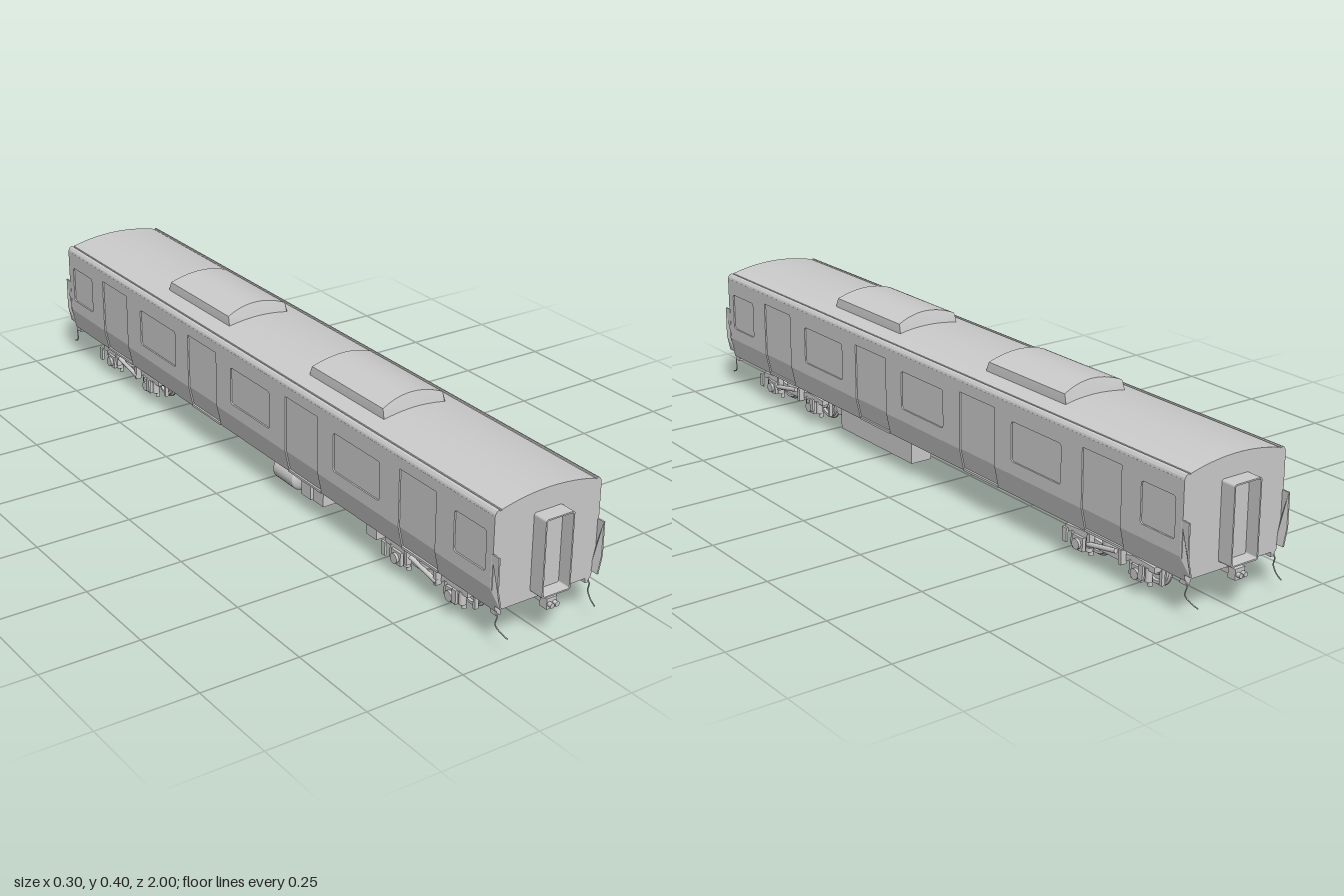
import * as THREE from 'three';
import { toCreasedNormals } from 'three/addons/utils/BufferGeometryUtils.js';

const mat = new THREE.MeshStandardMaterial({ color: 0xcccccc, side: THREE.DoubleSide });
const HALF = 0.96, KINK = 0.155, FLOOR = 0.097, T = 0.004;
// half-width of the body at a height: straight above, tapering in below the kink
const bodyX = y => 0.148 - Math.max(0, KINK - y) * 0.22;

function add(parent, name, geo, x = 0, y = 0, z = 0) {
  const m = new THREE.Mesh(geo, mat);
  m.name = name;
  m.position.set(x, y, z);
  parent.add(m);
  return m;
}
function group(parent, name) {
  const g = new THREE.Group();
  g.name = name;
  parent.add(g);
  return g;
}
// box given by its ranges
function box(parent, name, x0, x1, y0, y1, z0, z1) {
  return add(parent, name, new THREE.BoxGeometry(x1 - x0, y1 - y0, z1 - z0), (x0 + x1) / 2, (y0 + y1) / 2, (z0 + z1) / 2);
}
function cyl(parent, name, r, len, axis, x, y, z, seg = 20) {
  const g = new THREE.CylinderGeometry(r, r, len, seg);
  if (axis === 'x') g.rotateZ(Math.PI / 2);
  if (axis === 'z') g.rotateX(Math.PI / 2);
  return add(parent, name, g, x, y, z);
}
const poly = pts => new THREE.Shape(pts.map(p => new THREE.Vector2(p[0], p[1])));
// mirrors a right half profile (listed from bottom to top centre)
const mirrored = pts => poly([...pts, ...pts.filter(p => p[0] > 0).reverse().map(p => [-p[0], p[1]])]);
function extrude(shape, depth, curveSegments = 6) {
  const g = new THREE.ExtrudeGeometry(shape, { depth, bevelEnabled: false, curveSegments });
  return g.translate(0, 0, -depth / 2);
}
// shape drawn in (-z, y), given thickness towards +x
const sideways = (shape, t) => extrude(shape, t).rotateY(Math.PI / 2);
// side panel bent to the body profile
function panel(shape, t = T, out = 0) {
  const g = sideways(shape, t), p = g.attributes.position;
  for (let i = 0; i < p.count; i++) p.setX(i, p.getX(i) - t / 2 + out + bodyX(p.getY(i)));
  g.computeVertexNormals();
  return g;
}
function roundRect(x0, x1, y0, y1, r, Type = THREE.Shape) {
  const s = new Type();
  s.absarc(x1 - r, y0 + r, r, -Math.PI / 2, 0);
  s.absarc(x1 - r, y1 - r, r, 0, Math.PI / 2);
  s.absarc(x0 + r, y1 - r, r, Math.PI / 2, Math.PI);
  s.absarc(x0 + r, y0 + r, r, Math.PI, Math.PI * 1.5);
  s.closePath();
  return s;
}
const arc = (w, y0, y1, n) => Array.from({ length: n + 1 }, (_, i) => {
  const x = w * (1 - i / n);
  return [x, y1 - (y1 - y0) * (x / w) ** 2];
});

const DOORS = [[-0.76, -0.625], [-0.3, -0.16], [0.16, 0.3], [0.625, 0.76]];
const WINDOWS = [[-0.935, -0.825], [-0.55, -0.365], [-0.09, 0.09], [0.365, 0.55], [0.825, 0.935]];

function buildSide(parent) {
  const g = group(parent, 'sideWall');
  // upper wall with door notches and window openings
  const outline = [[-HALF, KINK]];
  for (const [a, b] of DOORS) outline.push([a, KINK], [a, 0.303], [b, 0.303], [b, KINK]);
  outline.push([HALF, KINK], [HALF, 0.331], [-HALF, 0.331]);
  const wall = poly(outline);
  for (const [a, b] of WINDOWS) wall.holes.push(roundRect(a, b, 0.188, 0.288, 0.008, THREE.Path));
  add(g, 'upperWall', panel(wall));
  // lower tapered strips between the doors
  const edges = [-HALF, ...DOORS.flat(), HALF];
  for (let i = 0; i < edges.length; i += 2)
    add(g, 'lowerWall', panel(poly([[edges[i], FLOOR], [edges[i + 1], FLOOR], [edges[i + 1], KINK], [edges[i], KINK]])));
  // door sills
  for (const [a, b] of DOORS) box(g, 'doorSill', 0.128, 0.138, FLOOR, 0.103, a, b);
  // corner plates reaching past both ends
  for (const s of [-1, 1]) {
    const a = s * 0.955, b = s * 0.98, lo = Math.min(a, b), hi = Math.max(a, b);
    add(g, 'cornerPlate', panel(poly([[lo, 0.112], [hi, 0.112], [hi, KINK], [hi, 0.24], [lo, 0.24], [lo, KINK]]), 0.004, 0.0005));
  }
  return g;
}

function buildEnd(parent) {
  const g = group(parent, 'carEnd');
  // open gangway frame with a door set back in it
  const frame = roundRect(-0.04, 0.04, 0.115, 0.308, 0.006);
  frame.holes.push(roundRect(-0.0365, 0.0365, 0.1185, 0.3045, 0.004, THREE.Path));
  add(g, 'gangwayFrame', extrude(frame, 0.044), 0, 0, 0.978);
  box(g, 'gangwayDoor', -0.037, 0.037, 0.118, 0.305, 0.955, 0.965);
  // coupler
  box(g, 'drawbar', -0.008, 0.008, 0.08, 0.094, 0.8, 0.97);
  box(g, 'couplerHead', -0.0145, 0.0145, 0.075, 0.102, 0.965, 0.988);
  for (const s of [-1, 1]) {
    cyl(g, 'couplerPin', 0.006, 0.014, 'z', s * 0.007, 0.088, 0.992, 12);
    // hanging cable and its bracket
    const path = new THREE.CatmullRomCurve3([[0.122, 0.098, 0.95], [0.13, 0.085, 0.962], [0.132, 0.062, 0.958],
      [0.128, 0.048, 0.972], [0.124, 0.04, 0.992]].map(p => new THREE.Vector3(s * p[0], p[1], p[2])));
    add(g, 'cable', new THREE.TubeGeometry(path, 20, 0.0016, 6));
    box(g, 'cableBracket', s * 0.126 - 0.006, s * 0.126 + 0.006, 0.085, 0.099, 0.94, 0.96);
  }
  box(g, 'endBeam', -0.055, 0.055, 0.088, 0.099, 0.87, 0.945);
  return g;
}

function buildBogie(parent, z) {
  const g = group(parent, 'bogie');
  g.position.z = z;
  const wheel = toCreasedNormals(new THREE.LatheGeometry([[0, 0.047], [0.043, 0.047], [0.045, 0.05], [0.044, 0.053],
    [0.039, 0.056], [0.038, 0.062], [0.031, 0.062], [0.028, 0.057], [0.018, 0.057], [0.016, 0.063], [0, 0.063]]
    .map(p => new THREE.Vector2(...p)), 32).rotateZ(-Math.PI / 2), 0.6);
  const half = [[0.155, 0.062], [0.155, 0.076], [0.085, 0.08], [0.055, 0.075], [0, 0.07]];
  const lower = [[0.042, 0.052], [0.075, 0.064]];
  const frame = poly([[-0.042, 0.052], ...lower, ...half, ...half.slice(0, -1).reverse().map(p => [-p[0], p[1]]), [-0.075, 0.064]]);
  for (const az of [-0.1025, 0.1025]) {
    cyl(g, 'axle', 0.011, 0.24, 'x', 0, 0.045, az);
    for (const s of [-1, 1]) {
      const w = add(g, 'wheel', wheel, 0, 0.045, az);
      if (s < 0) w.rotation.y = Math.PI;
      // axle box, its cover, primary springs and brake hanger
      box(g, 'axleBox', s * 0.105 - 0.014, s * 0.105 + 0.014, 0.03, 0.064, az - 0.018, az + 0.018);
      cyl(g, 'axleCover', 0.013, 0.008, 'x', s * 0.122, 0.046, az, 16);
      for (const d of [-0.027, 0.027]) {
        cyl(g, 'primarySpring', 0.009, 0.034, 'y', s * 0.105, 0.05, az + d, 12);
        cyl(g, 'springFoot', 0.006, 0.014, 'y', s * 0.1, 0.028, az + d, 10);
      }
      const out = az + Math.sign(az) * 0.05;
      box(g, 'brakeHanger', s * 0.086 - 0.005, s * 0.086 + 0.005, 0.026, 0.08, out - 0.004, out + 0.004);
    }
  }
  for (const s of [-1, 1]) {
    add(g, 'sideFrame', sideways(frame, 0.02), s * 0.102, 0, 0);
    // air spring, damper and step bracket
    cyl(g, 'airSpring', 0.024, 0.026, 'y', s * 0.1, 0.085, 0, 24);
    const damper = cyl(g, 'damper', 0.006, 0.1, 'z', s * 0.124, 0.07, 0.01, 12);
    damper.rotation.x = 0.18;
    for (const d of [-0.055, 0.055]) box(g, 'damperBracket', s * 0.119 - 0.008, s * 0.119 + 0.008, 0.052, 0.088, d - 0.005, d + 0.005);
    box(g, 'stepBracket', s * 0.131 - 0.003, s * 0.131 + 0.003, 0.045, 0.08, 0.125, 0.14);
    box(g, 'stepBracket', s * 0.131 - 0.003, s * 0.131 + 0.003, 0.045, 0.08, -0.14, -0.125);
  }
  // cross members
  box(g, 'bolster', -0.1, 0.1, 0.056, 0.074, -0.03, 0.03);
  cyl(g, 'centrePivot', 0.02, 0.035, 'y', 0, 0.085, 0);
  return g;
}

export function createModel() {
  const car = new THREE.Group();
  car.name = 'passengerCarriage';

  // body core, recessed behind the side walls
  const body = group(car, 'body');
  const core = mirrored([[bodyX(FLOOR) - T, FLOOR], [bodyX(KINK) - T, KINK], [bodyX(1) - T, 0.331], [0, 0.331]]);
  add(body, 'bodyCore', extrude(core, HALF * 2));
  // roof with raised gutters
  const roof = mirrored([[0.148, 0.33], [0.1465, 0.336], [0.142, 0.342], [0.136, 0.344], [0.135, 0.341], [0.131, 0.341], ...arc(0.13, 0.343, 0.36, 8)]);
  add(body, 'roof', toCreasedNormals(extrude(roof, HALF * 2), 0.3));
  for (const r of [0, Math.PI]) {
    buildSide(body).rotation.y = r;
    buildEnd(car).rotation.y = r;
  }

  // roof pods with sloping ends
  const podShape = mirrored([[0.088, 0.345], [0.088, 0.358], [0.086, 0.376], ...arc(0.082, 0.378, 0.395, 7)]);
  for (const z of [0.33, -0.34]) {
    const g = extrude(podShape, 0.304), p = g.attributes.position;
    for (let i = 0; i < p.count; i++)
      p.setZ(i, p.getZ(i) - Math.sign(p.getZ(i)) * Math.max(0, p.getY(i) - 0.355) * 0.35);
    g.computeVertexNormals();
    add(car, 'roofPod', toCreasedNormals(g, 0.35), 0, 0, z);
  }

  for (const z of [0.682, -0.682]) buildBogie(car, z);

  // underfloor equipment
  const gear = group(car, 'underfloorEquipment');
  box(gear, 'equipmentCase', 0.065, 0.125, 0.036, 0.099, 0.08, 0.41);
  cyl(gear, 'smallReservoir', 0.014, 0.06, 'x', 0.09, 0.081, 0.428);
  box(gear, 'frontBox', -0.12, -0.06, 0.058, 0.099, 0.465, 0.505);
  box(gear, 'controlBox', -0.12, -0.06, 0.048, 0.099, 0.24, 0.285);
  box(gear, 'relayBox', -0.12, -0.06, 0.044, 0.099, 0.19, 0.23);
  cyl(gear, 'airTank', 0.03, 0.08, 'z', -0.1, 0.068, 0.12, 24);
  for (const s of [-1, 1]) {
    const dome = new THREE.SphereGeometry(0.03, 24, 8, 0, Math.PI * 2, 0, Math.PI / 2).rotateX(s * Math.PI / 2).scale(1, 1, 0.4);
    add(gear, 'airTankEnd', dome, -0.1, 0.068, 0.12 + s * 0.04);
  }
  return car;
}
